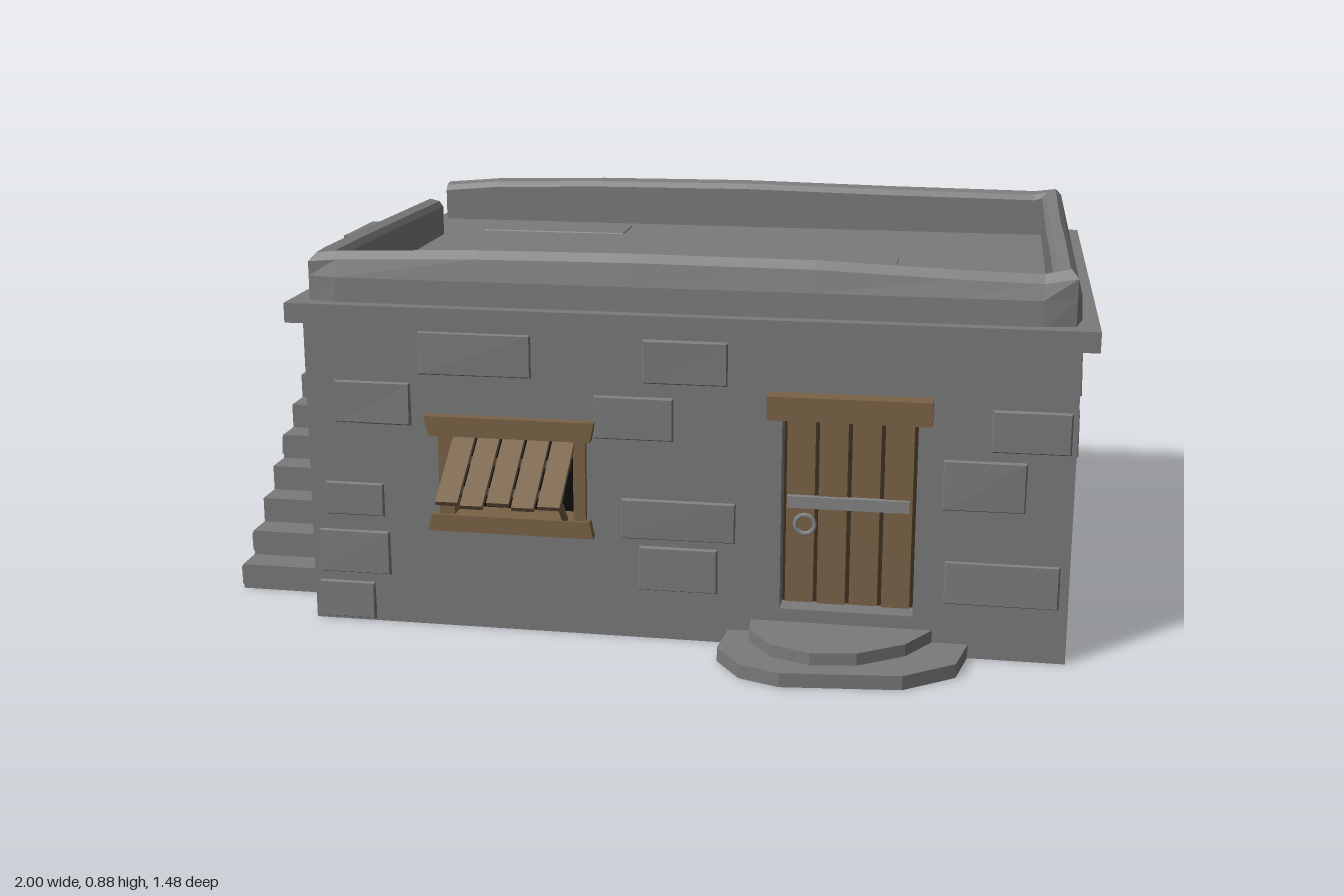
import * as THREE from 'three';

const mat = (name, color, extra = {}) => {
  const m = new THREE.MeshStandardMaterial({ color, flatShading: true, ...extra });
  m.name = name;
  return m;
};

export function createModel() {
  const stone = mat('stone', 0x7b7b7b);
  const wood = mat('wood', 0x7a6347);
  const darkWood = mat('dark wood', 0x3c2f20);
  const iron = mat('iron', 0x858585);
  const black = mat('dark opening', 0x0a0a0a);
  const root = new THREE.Group();
  root.name = 'stoneHouse';

  let seed = 7;
  const rnd = () => (seed = (seed * 16807) % 2147483647) / 2147483647;

  const add = (name, geo, material, parent = root) => {
    const m = new THREE.Mesh(geo, material);
    m.name = name;
    parent.add(m);
    return m;
  };
  // Box given by its minimum and maximum corners
  const box = (name, material, x0, x1, y0, y1, z0, z1, parent) => {
    const m = add(name, new THREE.BoxGeometry(x1 - x0, y1 - y0, z1 - z0), material, parent);
    m.position.set((x0 + x1) / 2, (y0 + y1) / 2, (z0 + z1) / 2);
    return m;
  };
  // Raised stone with sloped sides and an uneven face, standing on local z = 0
  const block = (parent, u0, u1, v0, v1, h = 0.009) => {
    const geo = new THREE.BoxGeometry(u1 - u0, v1 - v0, 0.02);
    const p = geo.attributes.position;
    const inset = Math.min(0.009, (v1 - v0) * 0.15);
    const lift = [0, 1, 2, 3].map(() => h * (0.45 + 0.55 * rnd()));
    for (let i = 0; i < p.count; i++) {
      if (p.getZ(i) < 0) continue;
      const sx = Math.sign(p.getX(i)), sy = Math.sign(p.getY(i));
      const k = (sx > 0 ? 1 : 0) + (sy > 0 ? 2 : 0);
      p.setXYZ(i, p.getX(i) - sx * inset, p.getY(i) - sy * inset, lift[k]);
    }
    add('wallStone', geo, stone, parent).position.set((u0 + u1) / 2, (v0 + v1) / 2, 0);
  };
  const face = (name, x, y, z, rx, ry) => {
    const g = new THREE.Group();
    g.name = name;
    g.position.set(x, y, z);
    g.rotation.set(rx, ry, 0);
    root.add(g);
    return g;
  };

  // Walls: solid core and a front wall pierced by the window and the door
  box('wallCore', stone, -0.75, 0.965, 0, 0.73, -0.71, 0.44);
  const wall = new THREE.Shape();
  wall.moveTo(-0.75, 0).lineTo(0.965, 0).lineTo(0.965, 0.73).lineTo(-0.75, 0.73).closePath();
  for (const [x0, x1, y0, y1] of [[-0.41, -0.12, 0.27, 0.465], [0.335, 0.63, 0.09, 0.54]]) {
    const hole = new THREE.Path();
    hole.moveTo(x0, y0).lineTo(x0, y1).lineTo(x1, y1).lineTo(x1, y0).closePath();
    wall.holes.push(hole);
  }
  add('frontWall', new THREE.ExtrudeGeometry(wall, { depth: 0.07, bevelEnabled: false }), stone)
    .position.z = 0.44;

  // Raised stones on each wall: u0, u1, v0, v1
  const front = face('frontStones', 0, 0, 0.51, 0, 0);
  [[-0.69, -0.5, 0.47, 0.58], [-0.09, 0.1, 0.46, 0.57], [0.78, 0.96, 0.47, 0.575],
    [0.68, 0.87, 0.335, 0.46], [-0.03, 0.24, 0.23, 0.335], [-0.74, -0.56, 0.11, 0.225],
    [0.01, 0.2, 0.11, 0.225], [-0.745, -0.6, 0, 0.1], [-0.49, -0.22, 0.59, 0.7],
    [0.02, 0.22, 0.59, 0.7], [0.69, 0.95, 0.12, 0.23], [-0.72, -0.57, 0.25, 0.34],
  ].forEach((s) => block(front, ...s));
  const right = face('rightStones', 0.963, 0, 0, 0, Math.PI / 2);
  [[-0.46, -0.27, 0.585, 0.7], [-0.32, -0.14, 0.34, 0.46], [-0.135, 0.09, 0.34, 0.46],
    [0.31, 0.47, 0.21, 0.335], [-0.18, 0, 0.23, 0.335], [0.2, 0.37, 0.47, 0.58],
    [0.52, 0.68, 0.47, 0.58], [0.17, 0.38, 0.345, 0.45], [0.5, 0.65, 0.35, 0.45],
    [-0.38, -0.12, 0.08, 0.205], [0.2, 0.52, 0.59, 0.7], [-0.5, -0.37, 0.46, 0.57],
  ].forEach((s) => block(right, ...s));
  const back = face('backStones', 0, 0, -0.708, 0, Math.PI);
  [[-0.68, -0.56, 0.5, 0.62], [-0.52, -0.3, 0.25, 0.36], [-0.3, -0.15, 0.36, 0.48],
    [0.3, 0.5, 0.42, 0.52], [0.12, 0.3, 0.2, 0.31], [-0.85, -0.62, 0.1, 0.2],
    [0.5, 0.68, 0.14, 0.25], [-0.1, 0.12, 0.56, 0.66],
  ].forEach((s) => block(back, ...s, 0.007));
  const left = face('leftStones', -0.748, 0, 0, 0, -Math.PI / 2);
  [[0.37, 0.49, 0.23, 0.34], [0.1, 0.3, 0.47, 0.58], [0.32, 0.5, 0.59, 0.69]]
    .forEach((s) => block(left, ...s));

  // Roof slab with projecting band, and a few flagstones
  box('roofBand', stone, -0.78, 1, 0.71, 0.755, -0.745, 0.545);
  const roof = face('roofFlags', 0, 0.753, 0, -Math.PI / 2, 0);
  [[-0.25, -0.1, -0.3, -0.14], [-0.6, -0.2, 0.46, 0.6], [0.1, 0.55, 0.05, 0.24], [0.3, 0.7, -0.36, -0.2]]
    .forEach((s) => block(roof, ...s, 0.005));

  // Parapet: one profile swept round the roof, open above the stairs
  const path = [[-0.75, -0.39], [-0.75, -0.1], [-0.75, 0.2], [-0.75, 0.43], [-0.735, 0.5], [-0.67, 0.515],
    [-0.35, 0.515], [0, 0.515], [0.4, 0.515], [0.7, 0.515], [0.88, 0.515], [0.95, 0.5], [0.965, 0.43],
    [0.965, 0.1], [0.965, -0.25], [0.965, -0.45], [0.965, -0.63], [0.95, -0.695], [0.88, -0.71],
    [0.5, -0.71], [0.1, -0.71], [-0.3, -0.71], [-0.6, -0.71], [-0.75, -0.71]];
  const tops = [0.85, 0.855, 0.86, 0.862, 0.86, 0.866, 0.876, 0.879, 0.877, 0.866, 0.862, 0.875, 0.866,
    0.868, 0.857, 0.86, 0.87, 0.875, 0.868, 0.872, 0.879, 0.876, 0.868, 0.855];
  const profile = [[0, 0.75], [0.003, 0.81], [0.014, -0.018], [0.03, 0], [0.055, -0.006], [0.065, -0.02], [0.065, 0.75]];
  const rings = path.map(([x, z], i) => profile.map(([d, h]) => [
    z < -0.6 && x < 0.5 ? x : Math.min(0.965 - d, Math.max(-0.75 + d, x)),
    h > 0.5 ? h : tops[i] + h,
    Math.min(0.515 - d, Math.max(-0.71 + d, z))]));
  const verts = [];
  const tri = (a, b, c) => verts.push(...a, ...b, ...c);
  const n = profile.length, last = rings[rings.length - 1];
  for (let i = 0; i + 1 < rings.length; i++) {
    for (let j = 0; j + 1 < n; j++) {
      const [p, q] = [rings[i], rings[i + 1]];
      tri(p[j], q[j], q[j + 1]);
      tri(p[j], q[j + 1], p[j + 1]);
    }
  }
  for (let j = 1; j + 1 < n; j++) {
    tri(rings[0][0], rings[0][j], rings[0][j + 1]);
    tri(last[0], last[j + 1], last[j]);
  }
  const parapet = new THREE.BufferGeometry();
  parapet.setAttribute('position', new THREE.Float32BufferAttribute(verts, 3));
  parapet.computeVertexNormals();
  add('parapet', parapet, stone);

  // Side stairs: twelve levels rising towards the back
  const steps = 12, rise = 0.73 / steps, run = 0.0745;
  const stepFront = (i) => 0.36 - i * run;
  for (let i = 0; i < steps; i++) {
    box('stairStep', stone, -0.992, -0.75, i * rise, (i + 1) * rise, -0.705, stepFront(i));
  }
  const stairSide = face('stairSideStones', -0.992, 0, 0, 0, -Math.PI / 2);
  const stairBack = face('stairBackStones', 0, 0, -0.705, 0, Math.PI);
  const courses = (parent, u0, u1, v, skip) => {
    for (let u = u0; u < u1 - 0.03;) {
      const end = Math.min(u1, u + 0.07 + rnd() * 0.09);
      if (rnd() > skip) block(parent, u, end, v, v + rise, 0.008);
      u = end;
    }
  };
  for (let i = 0; i < steps; i++) {
    courses(stairSide, -0.705, stepFront(i), i * rise, 0.4);
    courses(stairBack, 0.755, 0.992, i * rise, 0.35);
  }

  // Two-tier doorstep of irregular slabs
  const slab = (pts, y0, y1) => {
    const s = new THREE.Shape(pts.map(([x, z]) => new THREE.Vector2(x, -z)));
    const m = add('doorstep', new THREE.ExtrudeGeometry(s, { depth: y1 - y0, bevelEnabled: false }), stone);
    m.rotation.x = -Math.PI / 2;
    m.position.y = y0;
  };
  slab([[0.22, 0.5], [0.21, 0.62], [0.27, 0.705], [0.36, 0.738], [0.62, 0.71], [0.73, 0.625], [0.755, 0.5]], 0, 0.032);
  slab([[0.27, 0.5], [0.275, 0.57], [0.33, 0.65], [0.42, 0.685], [0.52, 0.67], [0.62, 0.6], [0.68, 0.5]], 0.032, 0.06);

  // Door with four planks, iron bar and ring handle
  const door = new THREE.Group();
  door.name = 'door';
  root.add(door);
  box('doorBacking', darkWood, 0.335, 0.63, 0.09, 0.54, 0.44, 0.455, door);
  for (let i = 0; i < 4; i++) {
    const x = 0.342 + i * 0.072;
    box('doorPlank', wood, x, x + 0.063, 0.093, 0.54, 0.455, 0.468 + (i % 2) * 0.004, door);
  }
  box('doorBar', iron, 0.345, 0.615, 0.318, 0.345, 0.468, 0.482, door);
  add('doorRing', new THREE.TorusGeometry(0.022, 0.005, 6, 12), iron, door).position.set(0.385, 0.28, 0.477);
  box('doorLintel', wood, 0.305, 0.66, 0.537, 0.59, 0.48, 0.555);

  // Window frame, slightly splayed at lintel and sill
  const beam = (name, x0, x1, y0, y1, splay) => {
    const m = box(name, wood, x0, x1, y0, y1, 0.46, 0.533);
    const p = m.geometry.attributes.position;
    for (let i = 0; i < p.count; i++) if (p.getY(i) * splay > 0) p.setX(i, p.getX(i) * 1.05);
  };
  beam('windowLintel', -0.46, -0.09, 0.46, 0.505, 1);
  beam('windowSill', -0.457, -0.093, 0.236, 0.275, -1);
  box('windowPost', wood, -0.44, -0.405, 0.27, 0.465, 0.46, 0.525);
  box('windowPost', wood, -0.13, -0.102, 0.27, 0.465, 0.46, 0.525);
  box('windowOpening', black, -0.41, -0.12, 0.27, 0.465, 0.44, 0.447);

  // Top-hung shutter propped open
  const shutter = new THREE.Group();
  shutter.name = 'shutter';
  shutter.position.set(-0.265, 0.455, 0.515);
  shutter.rotation.x = 0.6;
  root.add(shutter);
  [0.19, 0.197, 0.186, 0.195, 0.189].forEach((len, i) => {
    const x = -0.14 + i * 0.057;
    box('shutterPlank', wood, x, x + 0.05, -0.006, 0.006, 0, len, shutter);
  });
  for (const z of [0.05, 0.135]) box('shutterBatten', darkWood, -0.138, 0.138, -0.016, -0.006, z, z + 0.022, shutter);
  const prop = add('shutterProp', new THREE.BoxGeometry(0.012, 0.16, 0.01), wood);
  prop.position.set(-0.15, 0.322, 0.567);
  prop.rotation.x = 0.76;

  return root;
}
